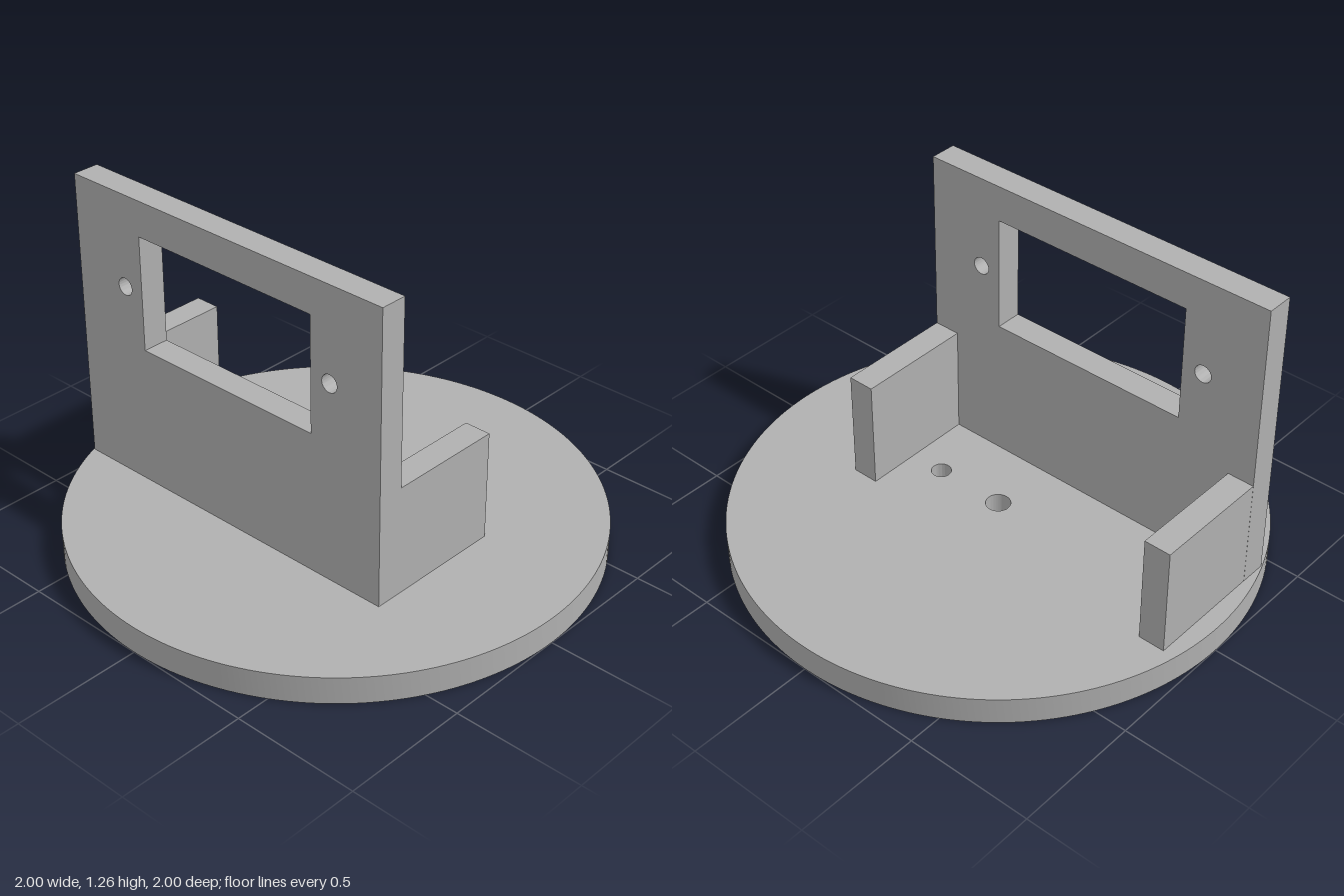
import * as THREE from 'three';
import { toCreasedNormals } from 'three/addons/utils/BufferGeometryUtils.js';

const BASE_H = 0.107;

// Circular path used for round holes
function circle(x, y, r) {
  return new THREE.Path().absarc(x, y, r, 0, Math.PI * 2, true);
}

// Extruded plate with crisp edges and smooth round walls
function plate(shape, depth, curveSegments) {
  const geo = new THREE.ExtrudeGeometry(shape, { depth, bevelEnabled: false, curveSegments });
  return toCreasedNormals(geo, 0.6);
}

function rect(path, x0, y0, x1, y1) {
  path.moveTo(x0, y0);
  path.lineTo(x1, y0);
  path.lineTo(x1, y1);
  path.lineTo(x0, y1);
  path.closePath();
  return path;
}

export function createModel() {
  const group = new THREE.Group();
  group.name = 'servoBracket';
  const grey = new THREE.MeshStandardMaterial({ color: 0xb0b0b0 });
  grey.name = 'plain grey';

  const add = (name, geo) => {
    const mesh = new THREE.Mesh(geo, grey);
    mesh.name = name;
    group.add(mesh);
    return mesh;
  };

  // Round base with centre hole and offset pin hole
  const disc = new THREE.Shape().absarc(0, 0, 1, 0, Math.PI * 2, false);
  disc.holes.push(circle(0, 0, 0.047), circle(0.285, 0, 0.038));
  add('base', plate(disc, BASE_H, 96)).rotation.x = -Math.PI / 2;

  // Upright front plate with window and two screw holes
  const front = rect(new THREE.Shape(), -0.93, BASE_H, 0.53, 1.262);
  front.holes.push(rect(new THREE.Path(), -0.603, 0.668, 0.217, 1.122));
  for (const x of [-0.69, 0.302]) front.holes.push(circle(x, 0.896, 0.034));
  add('frontPlate', plate(front, 0.105, 32)).position.z = 0.252;

  // Low side walls behind the front plate
  const wallH = 0.54 - BASE_H;
  for (const [name, x] of [['rightWall', -0.877], ['leftWall', 0.4775]]) {
    add(name, new THREE.BoxGeometry(0.105, wallH, 0.463))
      .position.set(x, BASE_H + wallH / 2, 0.0205);
  }

  return group;
}
